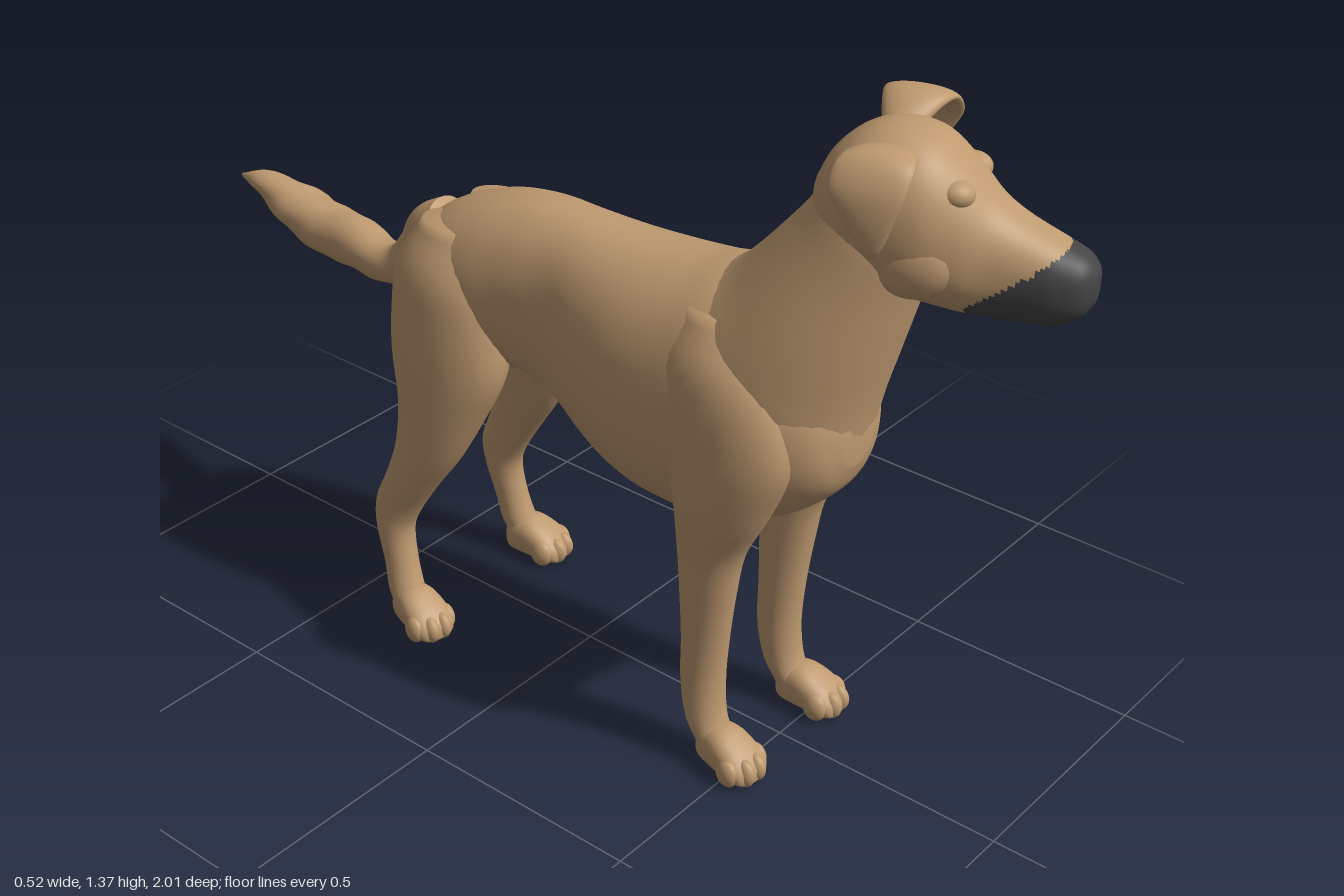
import * as THREE from 'three';

const coat = new THREE.MeshStandardMaterial({ color: 0xbf9a70 });
coat.name = 'tan coat';
const dark = new THREE.MeshStandardMaterial({ color: 0x444444 });
dark.name = 'dark muzzle';

const X = new THREE.Vector3(1, 0, 0), Y = new THREE.Vector3(0, 1, 0), Z = new THREE.Vector3(0, 0, 1);

// Smooth tube through rows [x, y, z, radius along side, radius across].
// With `up` all rings share one plane; otherwise they follow the path.
function loft(name, rows, { side = X, up = null, steps = 5, seg = 28, square = 1, ripple = null, isDark = null } = {}) {
  const path = new THREE.CatmullRomCurve3(rows.map(r => new THREE.Vector3(r[0], r[1], r[2])), false, 'catmullrom', 0.5);
  const size = new THREE.CatmullRomCurve3(rows.map(r => new THREE.Vector3(r[3], r[4], 0)), false, 'catmullrom', 0.5);
  const n = (rows.length - 1) * steps;
  const pos = [], main = [], second = [];
  const bend = v => Math.sign(v) * Math.abs(v) ** square;
  for (let i = 0; i <= n; i++) {
    const t = i / n, c = path.getPoint(t), s = size.getPoint(t);
    const across = up || path.getTangent(t).cross(side).normalize();
    for (let j = 0; j < seg; j++) {
      const a = (j / seg) * Math.PI * 2, k = ripple ? ripple(t, a) : 1;
      const p = c.clone().addScaledVector(side, bend(Math.cos(a)) * Math.max(s.x, 0.002) * k)
        .addScaledVector(across, bend(Math.sin(a)) * Math.max(s.y, 0.002) * k);
      pos.push(p.x, p.y, p.z);
    }
  }
  const first = path.getPoint(0), last = path.getPoint(1), cap = (n + 1) * seg;
  pos.push(first.x, first.y, first.z, last.x, last.y, last.z);
  const tri = (a, b, c) => {
    const mid = k => (pos[a * 3 + k] + pos[b * 3 + k] + pos[c * 3 + k]) / 3;
    (isDark && isDark(mid(1), mid(2)) ? second : main).push(a, b, c);
  };
  for (let j = 0; j < seg; j++) {
    const k = (j + 1) % seg;
    tri(cap, k, j);
    for (let i = 0; i < n; i++) {
      const a = i * seg + j, b = i * seg + k;
      tri(a, b, b + seg);
      tri(a, b + seg, a + seg);
    }
    tri(cap + 1, n * seg + j, n * seg + k);
  }
  const geo = new THREE.BufferGeometry();
  geo.setAttribute('position', new THREE.Float32BufferAttribute(pos, 3));
  geo.setIndex([...main, ...second]);
  geo.computeVertexNormals();
  geo.addGroup(0, main.length, 0);
  geo.addGroup(main.length, second.length, 1);
  const mesh = new THREE.Mesh(geo, isDark ? [coat, dark] : coat);
  mesh.name = name;
  return mesh;
}

// Rows [z, top, bottom, half width] become upright slices centred on x
const slices = (rows, x = 0) => rows.map(([z, t, b, w]) => [x, (t + b) / 2, z, w, (t - b) / 2]);

function ball(name, x, y, z, rx, ry, rz) {
  const m = new THREE.Mesh(new THREE.SphereGeometry(1, 20, 14), coat);
  m.name = name;
  m.position.set(x, y, z);
  m.scale.set(rx, ry, rz);
  return m;
}

// Paw with four toes
function paw(x, shift, turn) {
  const g = new THREE.Group();
  g.name = 'paw';
  g.add(loft('pawPad', slices([
    [-0.07, 0.06, 0.015, 0.015], [-0.055, 0.085, 0.003, 0.035], [-0.01, 0.095, 0, 0.046],
    [0.035, 0.075, 0, 0.049], [0.065, 0.05, 0.002, 0.04], [0.075, 0.035, 0.012, 0.015],
  ]), { up: Y, square: 0.85 }));
  for (const [tx, tz] of [[-0.04, 0.035], [-0.015, 0.057], [0.015, 0.057], [0.04, 0.035]])
    g.add(ball('toe', tx, 0.03, tz, 0.017, 0.03, 0.026));
  g.position.set(x, 0, shift);
  g.rotation.y = turn;
  return g;
}

export function createModel() {
  const dog = new THREE.Group();
  dog.name = 'dog';
  const cx = -0.02;

  // Trunk from rump to breast
  dog.add(loft('body', slices([
    [-0.415, 0.84, 0.72, 0.03], [-0.405, 0.87, 0.67, 0.07], [-0.37, 0.91, 0.62, 0.115], [-0.3, 0.955, 0.6, 0.15],
    [-0.2, 0.992, 0.61, 0.155], [-0.1, 1.01, 0.635, 0.142], [0, 1.012, 0.6, 0.14], [0.1, 1.008, 0.545, 0.168],
    [0.2, 1.01, 0.51, 0.193], [0.3, 1.02, 0.5, 0.2], [0.4, 1.035, 0.505, 0.197], [0.5, 1.01, 0.545, 0.18],
    [0.57, 0.96, 0.59, 0.155], [0.63, 0.88, 0.65, 0.105], [0.655, 0.81, 0.71, 0.04],
  ], cx), { up: Y, seg: 40, square: 0.92 }));

  // Neck
  dog.add(loft('neck', [
    [-0.015, 0.74, 0.4, 0.15, 0.2], [-0.015, 0.84, 0.455, 0.185, 0.222], [-0.005, 0.96, 0.53, 0.168, 0.172],
    [0.015, 1.11, 0.607, 0.133, 0.132], [0.035, 1.2, 0.645, 0.122, 0.115], [0.04, 1.26, 0.67, 0.1, 0.08],
  ], { seg: 36 }));

  // Head turned towards its left; lips and nose are dark
  const head = new THREE.Group();
  head.name = 'head';
  head.position.set(0.04, 0, 0.655);
  head.rotation.y = 0.32;
  head.add(loft('skull', slices([
    [-0.135, 1.25, 1.17, 0.04], [-0.11, 1.3, 1.12, 0.085], [-0.06, 1.345, 1.08, 0.12], [0, 1.365, 1.06, 0.133],
    [0.07, 1.355, 1.05, 0.13], [0.13, 1.31, 1.04, 0.11], [0.18, 1.258, 1.035, 0.09], [0.23, 1.225, 1.035, 0.079],
    [0.3, 1.193, 1.04, 0.069], [0.34, 1.175, 1.06, 0.054], [0.36, 1.155, 1.085, 0.03], [0.365, 1.14, 1.105, 0.01],
  ]), { up: Y, seg: 72, steps: 10, square: 0.88, isDark: (y, z) => z > 0.15 + 1.35 * Math.max(0, y - 1.07) }));
  for (const s of [-1, 1]) {
    head.add(ball('brow', s * 0.062, 1.275, 0.118, 0.032, 0.026, 0.035));
    head.add(ball('cheek', s * 0.088, 1.15, 0.06, 0.045, 0.07, 0.08));
    // Folded ear
    const ear = loft('ear', [
      [0.07, 1.325, -0.015, 0.035, 0.02], [0.12, 1.352, -0.01, 0.055, 0.02], [0.165, 1.352, -0.005, 0.067, 0.016],
      [0.195, 1.315, 0, 0.066, 0.012], [0.203, 1.265, -0.005, 0.045, 0.011], [0.2, 1.22, -0.012, 0.022, 0.009],
      [0.195, 1.198, -0.015, 0.005, 0.005],
    ], { side: Z });
    const holder = new THREE.Group();
    holder.name = s > 0 ? 'leftEar' : 'rightEar';
    if (s < 0) holder.rotation.y = Math.PI;
    holder.add(ear);
    head.add(holder);
  }
  dog.add(head);

  // Legs, each a stack of level slices
  const front = [
    [0.1, 0.98, 0.4, 0.04, 0.06], [0.122, 0.88, 0.425, 0.075, 0.13], [0.13, 0.74, 0.455, 0.08, 0.145],
    [0.135, 0.61, 0.45, 0.07, 0.105], [0.13, 0.5, 0.427, 0.056, 0.073], [0.128, 0.4, 0.42, 0.048, 0.06],
    [0.125, 0.28, 0.415, 0.043, 0.05], [0.125, 0.18, 0.413, 0.043, 0.046], [0.128, 0.1, 0.425, 0.042, 0.042],
    [0.13, 0.045, 0.455, 0.038, 0.04],
  ];
  const hind = [
    [0.07, 0.93, -0.27, 0.05, 0.08], [0.085, 0.84, -0.27, 0.09, 0.13], [0.1, 0.74, -0.262, 0.09, 0.146],
    [0.118, 0.64, -0.258, 0.08, 0.142], [0.135, 0.54, -0.265, 0.068, 0.108], [0.15, 0.44, -0.29, 0.055, 0.082],
    [0.16, 0.36, -0.328, 0.045, 0.066], [0.165, 0.28, -0.37, 0.038, 0.058], [0.17, 0.22, -0.38, 0.037, 0.045],
    [0.175, 0.14, -0.362, 0.035, 0.038], [0.18, 0.08, -0.345, 0.037, 0.04], [0.185, 0.04, -0.325, 0.035, 0.035],
  ];
  for (const s of [-1, 1]) {
    const label = s > 0 ? 'left' : 'right';
    const place = rows => rows.map(([x, ...rest]) => [cx + s * x, ...rest]);
    dog.add(loft(label + 'FrontLeg', place(front), { up: Z }), paw(cx + s * 0.135, 0.488, s * 0.12));
    dog.add(loft(label + 'HindLeg', place(hind), { up: Z }), paw(cx + s * 0.187, -0.3, s * 0.2));
  }

  // Bushy tail, tip to root
  dog.add(loft('tail', [
    [-0.01, 0.785, -1, 0.003, 0.005], [0, 0.782, -0.93, 0.032, 0.028], [0.01, 0.748, -0.84, 0.055, 0.05],
    [0.01, 0.725, -0.75, 0.058, 0.057], [0, 0.728, -0.65, 0.055, 0.055], [-0.015, 0.722, -0.56, 0.05, 0.045],
    [-0.02, 0.74, -0.495, 0.045, 0.043], [-0.02, 0.8, -0.45, 0.043, 0.038], [-0.02, 0.855, -0.415, 0.048, 0.042],
    [-0.02, 0.885, -0.36, 0.05, 0.045],
  ], { steps: 7, ripple: (t, a) => 1 + 0.07 * Math.max(0, 1 - t * 1.4) * Math.sin(t * 50 + a * 3) }));

  return dog;
}
